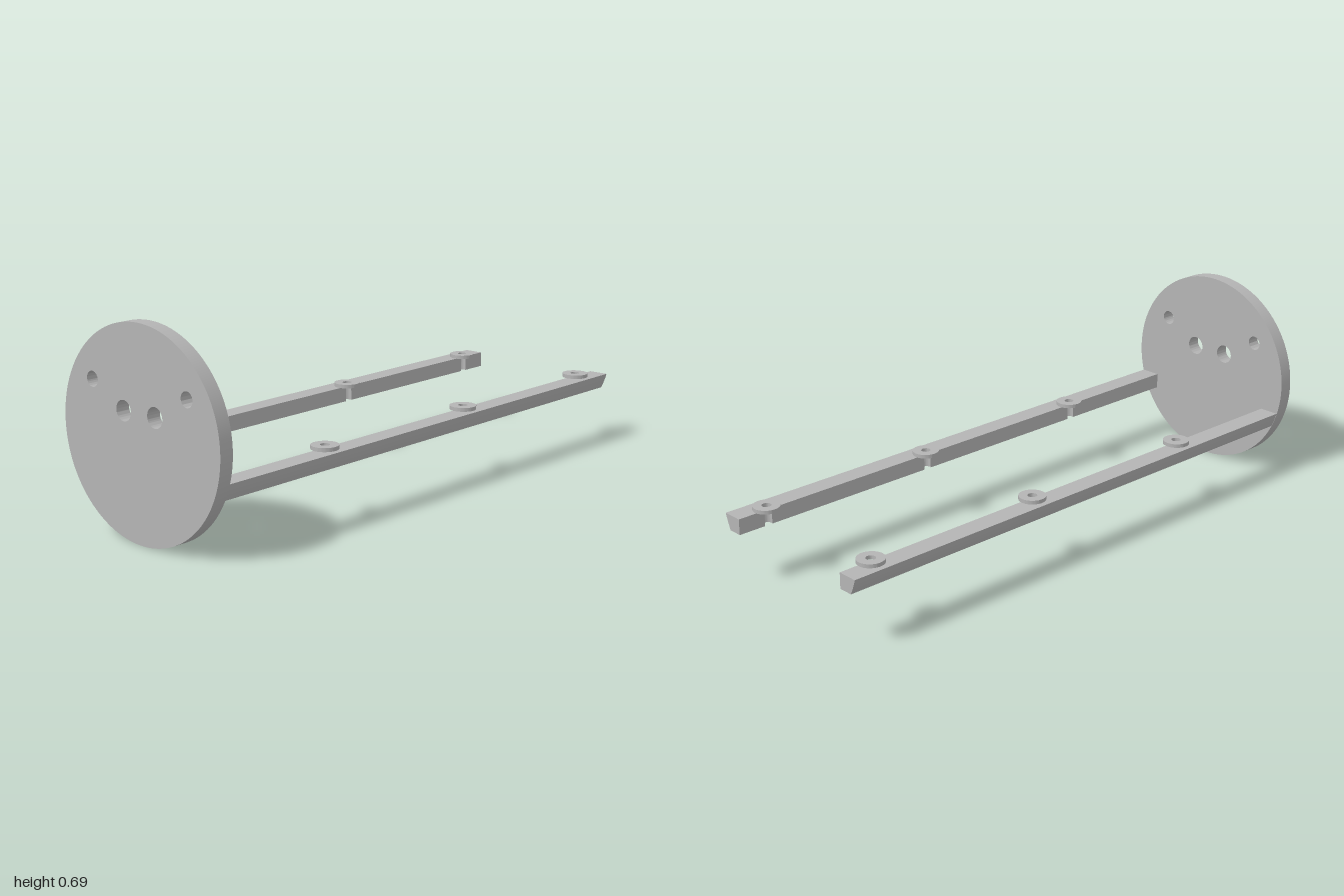
import * as THREE from 'three';
import { toCreasedNormals } from 'three/addons/utils/BufferGeometryUtils.js';

const R = 0.3435;                       // faceplate radius and centre height
const RAIL = { inner: 0.257, outer: 0.327, bottom: 0.192, top: 0.246, back: -1, front: 0.951 };
const BOSS = { x: 0.264, r: 0.0455, hole: 0.016, height: 0.013, zs: [0.474, -0.22, -0.888] };

const circle = (Type, x, y, r) => new Type().absarc(x, y, r, 0, Math.PI * 2, Type === THREE.Path);

function extrude(shape, depth, steps = 1, curveSegments = 24) {
  return new THREE.ExtrudeGeometry(shape, { depth, steps, curveSegments, bevelEnabled: false });
}

// Rail: plan outline with screw notches on the inner edge, outer side following the disc
function railGeometry(side) {
  const pts = [[RAIL.inner, -RAIL.front]];
  const half = Math.acos((RAIL.inner - BOSS.x) / BOSS.hole);
  for (const z of BOSS.zs) {
    for (let i = 0; i <= 16; i++) {
      const a = half * (i / 8 - 1);
      pts.push([BOSS.x + BOSS.hole * Math.cos(a), -z + BOSS.hole * Math.sin(a)]);
    }
  }
  pts.push([RAIL.inner, -RAIL.back], [RAIL.outer, -RAIL.back], [RAIL.outer, -RAIL.front]);
  const shape = new THREE.Shape(pts.map(([x, y]) => new THREE.Vector2(side * x, y)));
  const geo = extrude(shape, RAIL.top - RAIL.bottom, 6);
  geo.rotateX(-Math.PI / 2).translate(0, RAIL.bottom, 0);
  const p = geo.attributes.position;
  for (let i = 0; i < p.count; i++) {
    if (Math.abs(p.getX(i)) > RAIL.outer - 0.001) {
      p.setX(i, side * Math.sqrt((R - 0.001) ** 2 - (p.getY(i) - R) ** 2));
    }
  }
  return toCreasedNormals(geo, 0.5);
}

export function createModel() {
  const model = new THREE.Group();
  model.name = 'railFrame';
  const grey = new THREE.MeshStandardMaterial({ color: 0xb4b4b4 });
  grey.name = 'grey';

  const add = (name, geometry) => {
    const mesh = new THREE.Mesh(geometry, grey);
    mesh.name = name;
    model.add(mesh);
    return mesh;
  };

  // Round faceplate with two pairs of holes
  const plate = circle(THREE.Shape, 0, R, R);
  for (const s of [-1, 1]) {
    plate.holes.push(circle(THREE.Path, s * 0.208, 0.487, 0.025));
    plate.holes.push(circle(THREE.Path, s * 0.069, 0.41, 0.033));
  }
  add('faceplate', toCreasedNormals(extrude(plate, 0.05, 1, 80), 0.5)).position.z = 0.95;

  // Washer-shaped boss
  const ring = circle(THREE.Shape, 0, 0, BOSS.r);
  ring.holes.push(circle(THREE.Path, 0, 0, BOSS.hole));
  const bossGeo = toCreasedNormals(extrude(ring, BOSS.height, 1, 32).rotateX(-Math.PI / 2), 0.5);

  // Rails with three bosses each
  for (const [side, label] of [[1, 'left'], [-1, 'right']]) {
    add(label + 'Rail', railGeometry(side));
    BOSS.zs.forEach((z, i) => {
      add(label + 'Boss' + (i + 1), bossGeo).position.set(side * BOSS.x, RAIL.top, z);
    });
  }
  return model;
}
